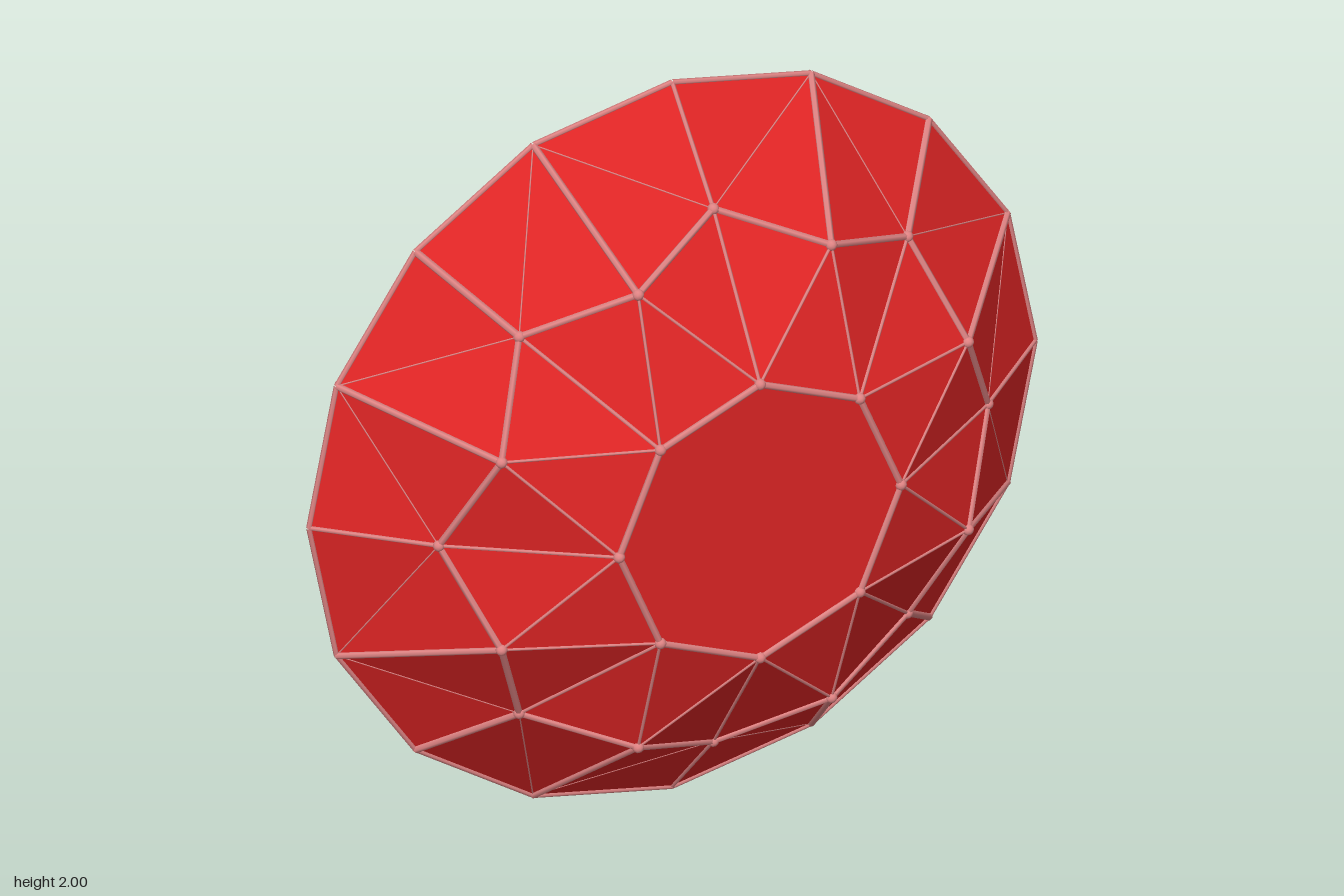
import * as THREE from 'three';

// Faceted round gem: two mirrored crowns with fine seams along the facet edges.
export function createModel() {
  const group = new THREE.Group();
  group.name = 'gem';

  const red = new THREE.MeshStandardMaterial({ color: 0xe02525, flatShading: true });
  red.name = 'gem red';
  const pink = new THREE.MeshStandardMaterial({ color: 0xdf8484 });
  pink.name = 'seam pink';

  // Corner rings, counted in sixteenths of a turn
  const ring = (radius, z) => (i) => {
    const a = (i * Math.PI) / 8;
    return new THREE.Vector3(radius * Math.cos(a), radius * Math.sin(a), z);
  };
  const table = ring(0.385, 0.47);
  const upper = ring(0.69, 0.335);
  const lower = ring(0.75, 0.22);
  const girdle = ring(0.992, 0);

  const up = new THREE.Vector3(0, 1, 0);
  function seam(parent, a, b, radius) {
    const dir = b.clone().sub(a);
    const mesh = new THREE.Mesh(new THREE.CylinderGeometry(radius, radius, dir.length(), 6, 1, true), pink);
    mesh.position.copy(a).add(b).multiplyScalar(0.5);
    mesh.quaternion.setFromUnitVectors(up, dir.normalize());
    mesh.name = 'seam';
    parent.add(mesh);
  }
  const jointGeometry = new THREE.IcosahedronGeometry(0.015, 1);
  function joint(parent, p) {
    const mesh = new THREE.Mesh(jointGeometry, pink);
    mesh.position.copy(p);
    mesh.name = 'joint';
    parent.add(mesh);
  }

  for (const side of [1, -1]) {
    const at = (p) => p.setZ(p.z * side);
    const points = [];
    const face = (a, b, c) => points.push(...(side > 0 ? [a, b, c] : [a, c, b]).map(at2));
    const at2 = (p) => at(p.clone());
    const seams = new THREE.Group();
    seams.name = side > 0 ? 'frontSeams' : 'backSeams';
    const line = (a, b, r) => seam(seams, at2(a), at2(b), r);

    for (let i = 0; i < 16; i += 2) {
      const T = table(i), T2 = table(i + 2), L = lower(i);
      const U = upper(i + 1), V = upper(i - 1);
      const G = girdle(i), GU = girdle(i + 1), GV = girdle(i - 1);

      // Table slice, star facet, kite halves and girdle facets
      face(new THREE.Vector3(0, 0, 0.47), T, T2);
      face(T, U, T2);
      face(T, L, U);
      face(T, V, L);
      face(L, GU, U);
      face(L, G, GU);
      face(L, V, GV);
      face(L, GV, G);

      // Seams, bolder on the sharper edges
      line(T, T2, 0.009);
      line(L, U, 0.009);
      line(L, V, 0.009);
      line(U, GU, 0.009);
      line(L, G, i % 4 ? 0.01 : 0.006);
      line(T, U, 0.004);
      line(T, V, 0.004);
      line(T, L, 0.005);
      line(L, GU, 0.002);
      line(L, GV, 0.002);
      for (const p of [T, U, L]) joint(seams, at2(p));
    }
    const geometry = new THREE.BufferGeometry().setFromPoints(points);
    geometry.computeVertexNormals();
    const crown = new THREE.Mesh(geometry, red);
    crown.name = side > 0 ? 'frontCrown' : 'backCrown';
    group.add(crown, seams);
  }

  // Rim seam around the girdle
  const rim = new THREE.Group();
  rim.name = 'rimSeam';
  for (let i = 0; i < 16; i++) seam(rim, girdle(i), girdle(i + 1), 0.007);
  group.add(rim);

  group.position.y = 1;
  const model = new THREE.Group();
  model.name = 'model';
  model.add(group);
  return model;
}
